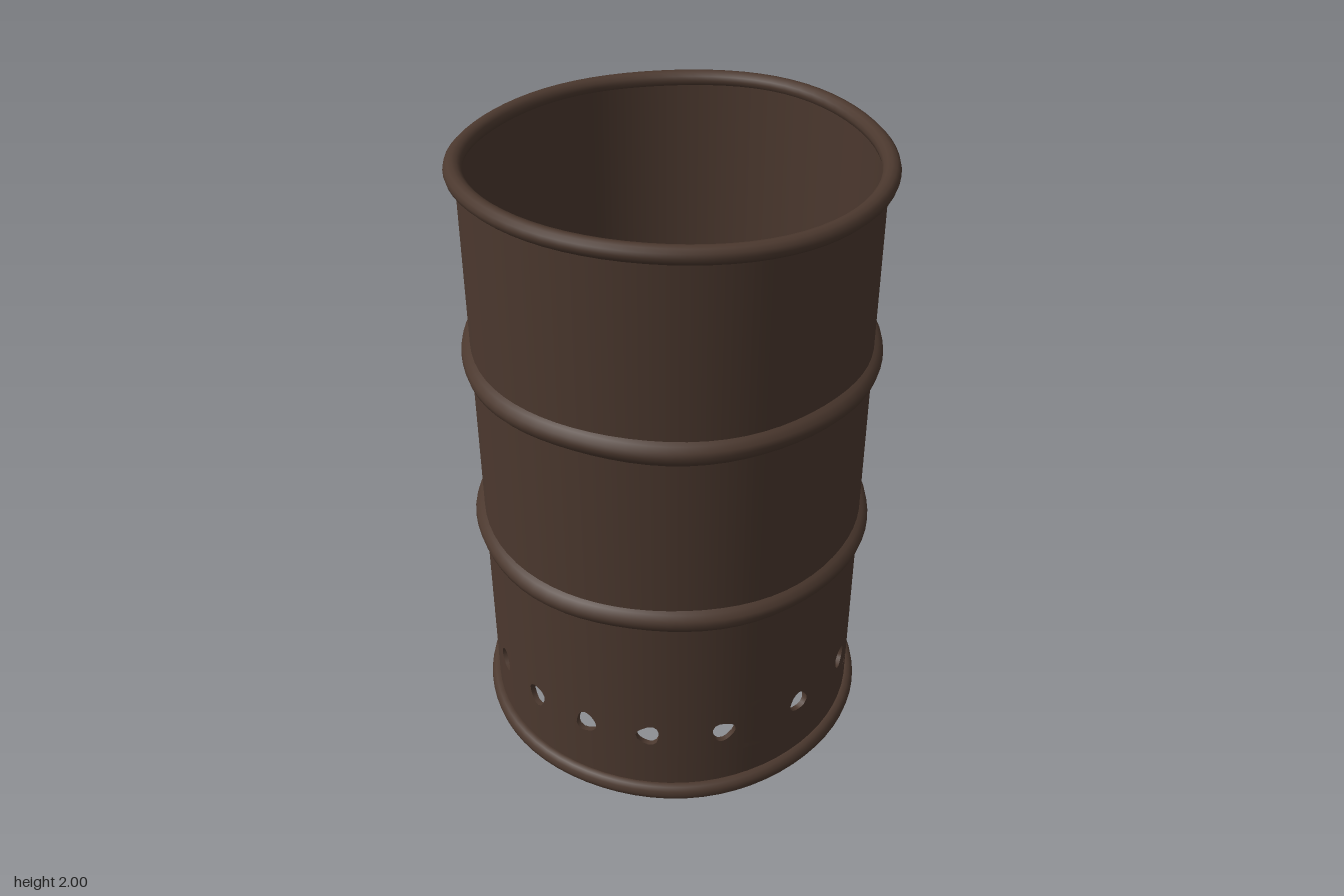
import * as THREE from 'three';

const OUTER = 0.615, INNER = 0.597;      // wall radii
const BAND_Y = 0.27, BAND_H = 0.1;       // pierced band: centre and half height
const SEG = 72;

const rust = new THREE.MeshStandardMaterial({ color: 0x4b382e });
rust.name = 'darkRust';

// Lathe from [radius, y] pairs, optionally dented by a rule of the angle
function lathe(name, profile, dent) {
  const geo = new THREE.LatheGeometry(profile.map(([r, y]) => new THREE.Vector2(r, y)), SEG);
  if (dent) {
    const p = geo.attributes.position;
    for (let i = 0; i < p.count; i++) {
      const x = p.getX(i), z = p.getZ(i);
      const [dr, dy] = dent(Math.atan2(x, z));
      const r = Math.hypot(x, z), k = (r + dr) / r;
      p.setXYZ(i, x * k, p.getY(i) + dy, z * k);
    }
  }
  const mesh = new THREE.Mesh(geo, rust);
  mesh.name = name;
  return mesh;
}

// Closed rolled edge
function rim(name, y, halfHeight, dent) {
  const profile = [];
  for (let i = 0; i <= 12; i++) {
    const a = -Math.PI / 2 + (i / 12) * Math.PI * 2;
    profile.push([0.618 + 0.027 * Math.cos(a), y + halfHeight * Math.sin(a)]);
  }
  return lathe(name, profile, dent);
}

// Raised hoop on the outside of the wall
function hoop(name, y, phase) {
  const profile = [[0.612, -0.044], [0.626, -0.034], [0.64, -0.018], [0.645, 0],
    [0.641, 0.016], [0.627, 0.03], [0.612, 0.038]].map(([r, h]) => [r, y + h]);
  return lathe(name, profile, a => [0.002 * Math.sin(7 * a + phase), 0.004 * Math.sin(5 * a + phase)]);
}

// Curved band made of one panel around each vent hole
function ventBand() {
  const quarter = [12, 38.5, 61, 80.5];
  const degrees = [...quarter, ...quarter.map(d => 180 - d)].flatMap(d => [d, 360 - d]);
  const holes = degrees.sort((a, b) => a - b).map(d => d * Math.PI / 180);
  const n = holes.length, N = 16;
  const pos = [], nor = [], idx = [];

  // Quad strip between two loops of { p, n } points
  function strip(a, b) {
    const base = pos.length / 3;
    for (const v of [...a, ...b]) { pos.push(...v.p); nor.push(...v.n); }
    for (let k = 0; k < N; k++) {
      const a0 = base + k, a1 = base + k + 1, b0 = a0 + N + 1, b1 = a1 + N + 1;
      idx.push(a0, b0, b1, a0, b1, a1);
    }
  }

  holes.forEach((mid, h) => {
    const before = (mid - holes[(h + n - 1) % n] + 2 * Math.PI) % (2 * Math.PI) / 2;
    const after = (holes[(h + 1) % n] - mid + 2 * Math.PI) % (2 * Math.PI) / 2;
    const loop = (t, r, side) => Array.from({ length: N + 1 }, (_, k) => {
      const a = (k % N) / N * Math.PI * 2, c = Math.cos(a), s = Math.sin(a);
      const m = Math.max(Math.abs(c), Math.abs(s));
      const rough = 1 + 0.09 * Math.sin(3 * a + h * 2.3) + 0.05 * Math.sin(2 * a + h);
      const holeT = c * rough * 0.036 / OUTER, holeY = s * rough * 0.039;
      const edgeT = c / m * (c < 0 ? before : after), edgeY = s / m * BAND_H;
      const th = mid + holeT + (edgeT - holeT) * t;
      const y = BAND_Y + holeY + (edgeY - holeY) * t;
      const sn = Math.sin(th), cs = Math.cos(th);
      const normal = side === 0 ? [-c * cs, -s, c * sn] : [sn * side, 0, cs * side];
      return { p: [r * sn, y, r * cs], n: normal };
    });
    const steps = [0, 0.3, 0.65, 1];
    for (let i = 0; i < 3; i++) {
      strip(loop(steps[i], OUTER, 1), loop(steps[i + 1], OUTER, 1));
      strip(loop(steps[i + 1], INNER, -1), loop(steps[i], INNER, -1));
    }
    strip(loop(0, INNER, 0), loop(0, OUTER, 0)); // thickness inside the hole
  });

  const geo = new THREE.BufferGeometry();
  geo.setAttribute('position', new THREE.Float32BufferAttribute(pos, 3));
  geo.setAttribute('normal', new THREE.Float32BufferAttribute(nor, 3));
  geo.setIndex(idx);
  const mesh = new THREE.Mesh(geo, rust);
  mesh.name = 'ventBand';
  return mesh;
}

export function createModel() {
  const barrel = new THREE.Group();
  barrel.name = 'openBarrel';

  // Wall above and below the pierced band, outside and inside
  const low = BAND_Y - BAND_H + 0.002, high = BAND_Y + BAND_H - 0.002;
  barrel.add(
    lathe('lowerWallOutside', [[OUTER, 0.03], [OUTER, low]]),
    lathe('lowerWallInside', [[INNER, low], [INNER, 0.03]]),
    lathe('upperWallOutside', [[OUTER, high], [OUTER, 1.965]]),
    lathe('upperWallInside', [[INNER, 1.965], [INNER, high]]),
    ventBand());

  // Hoops and rolled edges, the top one slightly bent
  barrel.add(
    hoop('lowerHoop', 0.755, 0.5),
    hoop('upperHoop', 1.365, 2.1),
    rim('bottomRim', 0.034, 0.03, a => [0.0015 * Math.sin(6 * a), 0.004 * Math.sin(3 * a + 1)]),
    rim('topRim', 1.961, 0.026, a => [0.0015 * Math.sin(5 * a), -0.011 * Math.cos(2 * a) + 0.002 * Math.sin(5 * a)]));
  return barrel;
}
